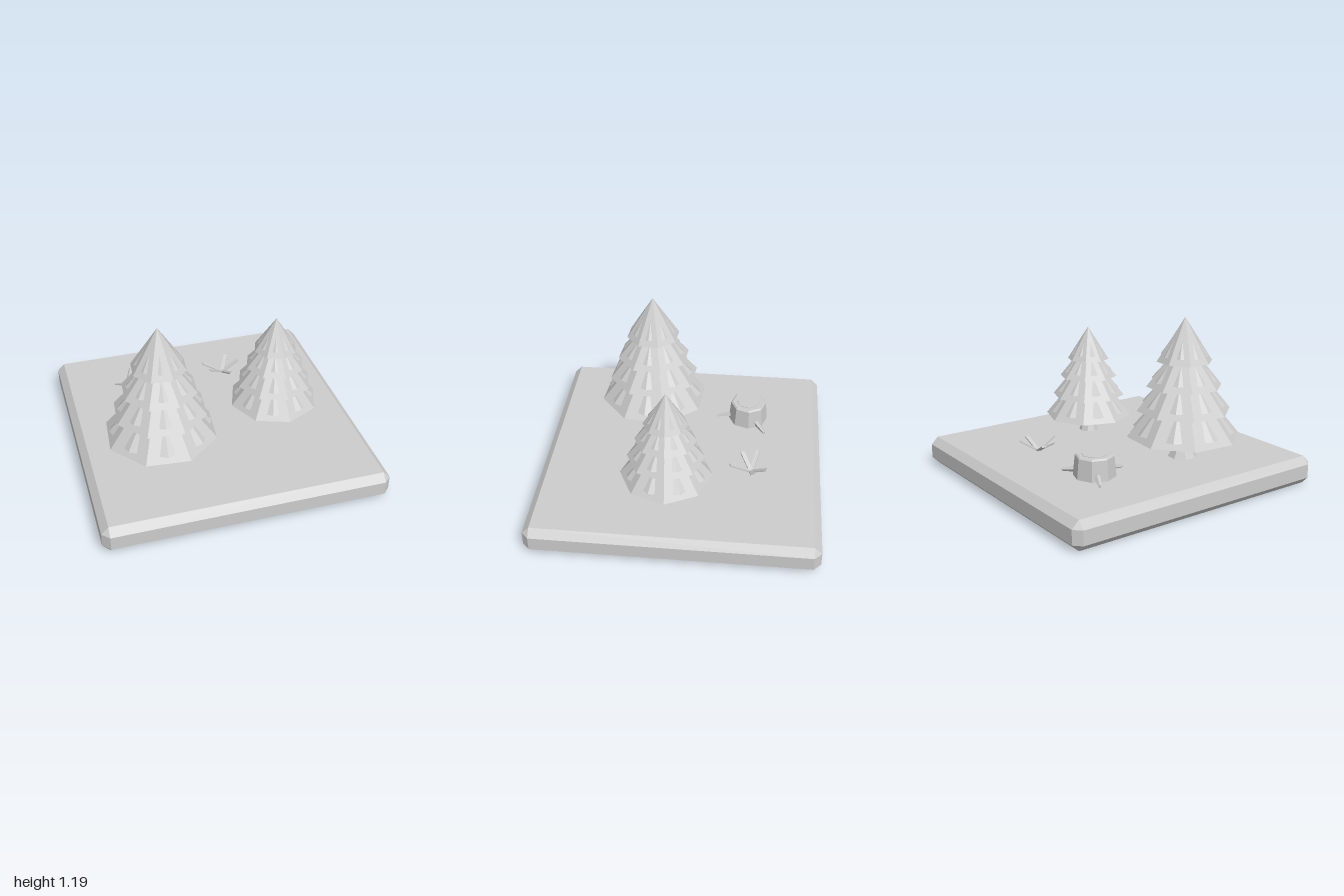
import * as THREE from 'three';
import { ConvexGeometry } from 'three/addons/geometries/ConvexGeometry.js';

const clay = new THREE.MeshStandardMaterial({ color: 0xcccccc });
clay.name = 'pale grey';
const GROUND = 0.2;

// Faceted mesh: every face gets its own flat normal
function part(name, geometry, parent) {
  const flat = geometry.index ? geometry.toNonIndexed() : geometry;
  flat.computeVertexNormals();
  const mesh = new THREE.Mesh(flat, clay);
  mesh.name = name;
  parent.add(mesh);
  return mesh;
}

// Eight-sided frustum standing on height y
function frustum(name, parent, rTop, rBottom, y, h, turn = 0) {
  const g = new THREE.CylinderGeometry(rTop, rBottom, h, 8);
  g.rotateY(turn).translate(0, y + h / 2, 0);
  return part(name, g, parent);
}

// Aim a mesh whose length runs along y from one point to another
function span(mesh, from, to) {
  mesh.position.copy(from).add(to).multiplyScalar(0.5);
  mesh.quaternion.setFromUnitVectors(new THREE.Vector3(0, 1, 0), to.clone().sub(from).normalize());
}

// Square slab with all edges chamfered
function makeBase(parent) {
  const points = [];
  for (const x of [-1, 1]) for (const y of [-1, 1]) for (const z of [-1, 1]) {
    points.push(
      new THREE.Vector3(x, 0.1 + 0.05 * y, 0.95 * z),
      new THREE.Vector3(0.95 * x, 0.1 + 0.1 * y, 0.95 * z),
      new THREE.Vector3(0.95 * x, 0.1 + 0.05 * y, z)
    );
  }
  part('base', new ConvexGeometry(points), parent);
}

// Fir tree: flared trunk and stacked cones, each with ridges across its facets
function makeTree(name, parent, { x, z, turn, trunk, apex, tiers, lip }) {
  const tree = new THREE.Group();
  tree.name = name;
  tree.position.set(x, 0, z);
  tree.rotation.y = turn;
  parent.add(tree);

  frustum('trunkFlare', tree, trunk, trunk * 1.4, GROUND, 0.055);
  frustum('trunk', tree, trunk * 0.9, trunk, GROUND + 0.055, 0.2);

  tiers.forEach(([y, r], i) => {
    const h = i === tiers.length - 1 ? apex - y : r * 1.24;
    frustum('foliageTier' + (i + 1), tree, 0, r, y, h);
    const rLip = r * (1 - lip / h);
    frustum('foliageRidge' + (i + 1), tree, rLip * 0.42, rLip * 0.985, y + lip, (h - lip) * 0.53, Math.PI / 8);
  });
}

// Tree stump with a bevelled rim, a growth ring and three roots
function makeStump(parent) {
  const stump = new THREE.Group();
  stump.name = 'stump';
  stump.position.set(-0.4, 0, -0.455);
  stump.rotation.y = 0.06;
  parent.add(stump);
  frustum('stumpBody', stump, 0.132, 0.146, GROUND, 0.14);
  frustum('stumpRim', stump, 0.122, 0.132, GROUND + 0.14, 0.01);
  frustum('growthRing', stump, 0.088, 0.088, GROUND + 0.15, 0.003);
  for (let i = 0; i < 3; i++) {
    const a = (i * Math.PI * 2) / 3;
    const at = (r, y) => new THREE.Vector3(Math.sin(a) * r, y, Math.cos(a) * r);
    const root = part('root' + (i + 1), new THREE.CylinderGeometry(0.01, 0.027, 0.14, 5), stump);
    span(root, at(0.1, 0.235), at(0.235, 0.21));
  }
}

// Tuft of five flat blades fanning out from one point
function makeTuft(parent) {
  const tuft = new THREE.Group();
  tuft.name = 'tuft';
  tuft.position.set(0.235, GROUND, -0.505);
  parent.add(tuft);
  const tips = [[-0.145, -0.04], [0.06, -0.11], [0.13, -0.015], [0.033, 0.15], [-0.115, 0.07]];
  tips.forEach(([x, z], i) => {
    const tip = new THREE.Vector3(x, 0.077, z);
    const blade = new THREE.Group();
    blade.name = 'blade' + (i + 1);
    blade.position.y = 0.003;
    blade.lookAt(tip);
    tuft.add(blade);
    const length = tip.length();
    part('bladeStrip', new THREE.BoxGeometry(0.03, 0.01, length).translate(0, 0, length / 2), blade);
  });
}

export function createModel() {
  const model = new THREE.Group();
  model.name = 'forestTile';
  makeBase(model);
  makeTree('largeTree', model, {
    x: -0.44, z: 0.27, turn: 0.3, trunk: 0.075, apex: 1.19, lip: 0.042,
    tiers: [[0.355, 0.397], [0.54, 0.33], [0.712, 0.265], [0.885, 0.194]]
  });
  makeTree('smallTree', model, {
    x: 0.45, z: 0.08, turn: 0.06, trunk: 0.052, apex: 1.0, lip: 0.038,
    tiers: [[0.325, 0.322], [0.48, 0.268], [0.625, 0.212], [0.757, 0.154]]
  });
  makeStump(model);
  makeTuft(model);
  return model;
}
